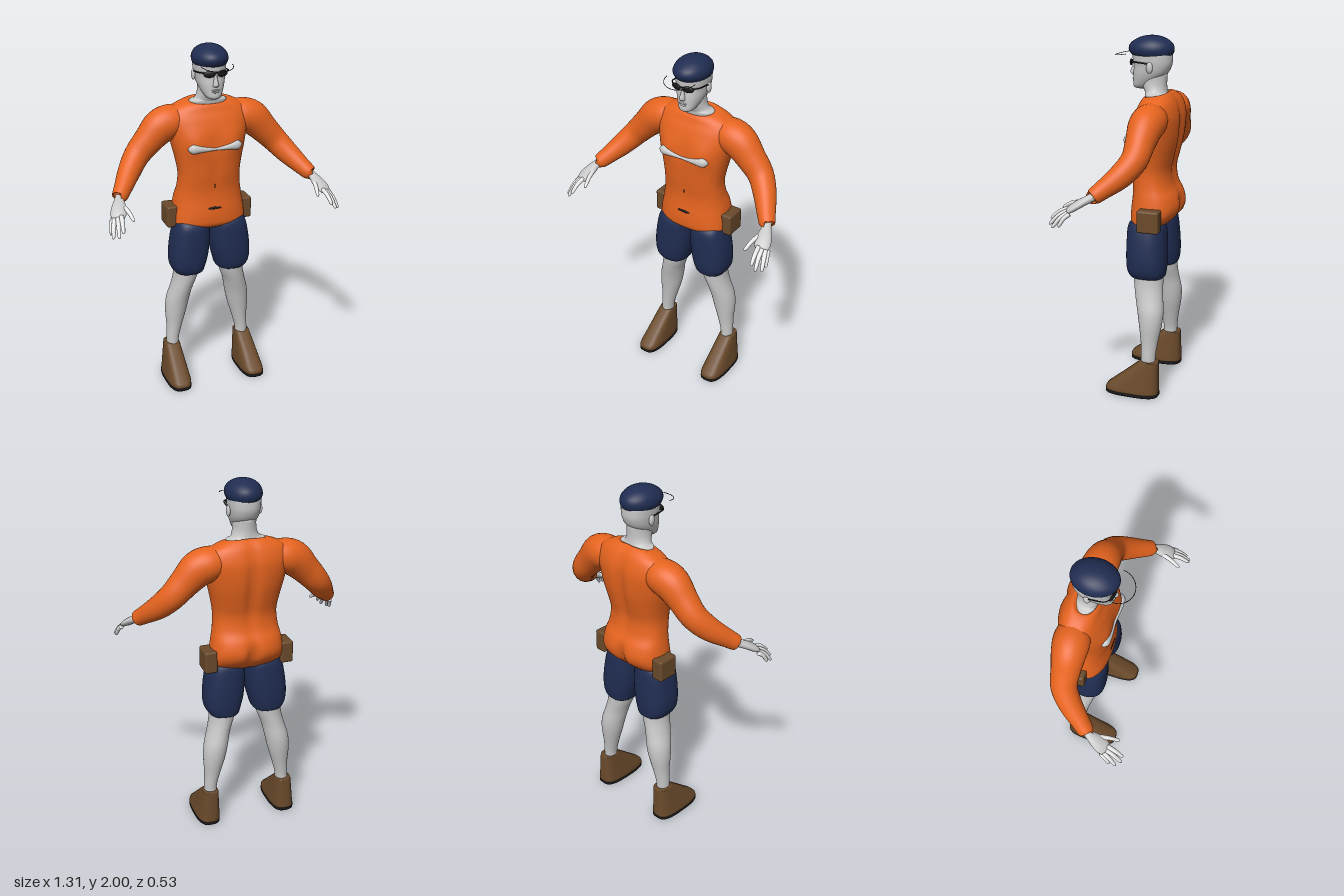
import * as THREE from 'three';
import { RoundedBoxGeometry } from 'three/addons/geometries/RoundedBoxGeometry.js';

const material = (name, color) => {
  const m = new THREE.MeshStandardMaterial({ color });
  m.name = name;
  return m;
};

// Catmull-Rom interpolation between rows of numbers
function smoothRows(rows, steps) {
  const out = [], at = i => rows[Math.min(Math.max(i, 0), rows.length - 1)];
  for (let i = 0; i < rows.length - 1; i++) {
    for (let s = 0; s < steps; s++) {
      const t = s / steps;
      out.push(rows[i].map((b, k) => {
        const a = at(i - 1)[k], c = at(i + 1)[k], d = at(i + 2)[k];
        return b + 0.5 * t * (c - a + t * (2 * a - 5 * b + 4 * c - d + t * (3 * (b - c) + d - a)));
      }));
    }
  }
  out.push(rows[rows.length - 1]);
  return out;
}

// Closed skin over rings of points, capped at both ends
function skinRings(rings) {
  const n = rings[0].length, pos = [], idx = [];
  rings.forEach(r => r.forEach(p => pos.push(p.x, p.y, p.z)));
  for (let i = 0; i < rings.length - 1; i++) {
    for (let j = 0; j < n; j++) {
      const k = (j + 1) % n, a = i * n, b = a + n;
      idx.push(a + j, b + j, a + k, a + k, b + j, b + k);
    }
  }
  [0, rings.length - 1].forEach(i => {
    const c = rings[i].reduce((s, p) => s.add(p), new THREE.Vector3()).divideScalar(n);
    const ci = pos.length / 3, a = i * n;
    pos.push(c.x, c.y, c.z);
    for (let j = 0; j < n; j++) {
      const k = (j + 1) % n;
      if (i === 0) idx.push(ci, a + j, a + k); else idx.push(ci, a + k, a + j);
    }
  });
  const g = new THREE.BufferGeometry();
  g.setAttribute('position', new THREE.Float32BufferAttribute(pos, 3));
  g.setIndex(idx);
  g.computeVertexNormals();
  return g;
}

// Upright form from rows [y, centreX, halfWidth, frontZ, backZ]
function stack(rows, { power = 2, steps = 4, sides = 40, shape } = {}) {
  const bend = v => Math.sign(v) * Math.abs(v) ** (2 / power);
  return skinRings(smoothRows(rows, steps).map(([y, cx, rx, zf, zb]) =>
    Array.from({ length: sides }, (_, j) => {
      const a = j / sides * Math.PI * 2;
      const p = new THREE.Vector3(cx + rx * bend(Math.cos(a)), y, (zf + zb) / 2 + (zf - zb) / 2 * bend(Math.sin(a)));
      if (shape) shape(p, Math.sin(a));
      return p;
    })));
}

// Limb along rows [x, y, z, sideRadius, upRadius]
function limb(rows, sides = 20, steps = 4) {
  const r = smoothRows(rows, steps), P = r.map(q => new THREE.Vector3(q[0], q[1], q[2]));
  return skinRings(r.map((q, i) => {
    const t = P[Math.min(i + 1, P.length - 1)].clone().sub(P[Math.max(i - 1, 0)]).normalize();
    const u = t.clone().cross(new THREE.Vector3(0, 1, 0)).normalize(), v = u.clone().cross(t);
    return Array.from({ length: sides }, (_, j) => {
      const a = j / sides * Math.PI * 2;
      return P[i].clone().addScaledVector(u, q[3] * Math.cos(a)).addScaledVector(v, q[4] * Math.sin(a));
    });
  }));
}

const blob = (x, y, z, rx, ry, rz) => new THREE.SphereGeometry(1, 20, 14).scale(rx, ry, rz).translate(x, y, z);

function mirrored(geo) {
  const g = geo.clone().scale(-1, 1, 1);
  const ix = g.index ? Array.from(g.index.array) : Array.from({ length: g.attributes.position.count }, (_, i) => i);
  for (let i = 0; i < ix.length; i += 3) [ix[i], ix[i + 1]] = [ix[i + 1], ix[i]];
  g.setIndex(ix);
  g.computeVertexNormals();
  return g;
}

export function createModel() {
  const model = new THREE.Group();
  model.name = 'standingMan';
  const orange = material('orange cloth', 0xe6641f), navy = material('navy cloth', 0x202d52);
  const skin = material('pale skin', 0xc8c8c8), brown = material('brown leather', 0x6a4a2b);
  const black = material('black', 0x18181a);
  const add = (name, geo, mat) => {
    const m = new THREE.Mesh(geo, mat);
    m.name = name;
    model.add(m);
  };
  const pair = (name, geo, mat) => {
    add(name + 'Left', geo, mat);
    add(name + 'Right', mirrored(geo), mat);
  };
  const bell = (v, c, w) => Math.exp(-(((v - c) / w) ** 2));

  // Shirt body with chest, spine groove, cleft and sloping collar
  add('shirtBody', stack([
    [0.96, 0, 0.12, -0.03, -0.17], [0.985, 0, 0.2, 0.004, -0.205], [1.03, 0, 0.21, 0.01, -0.25],
    [1.08, 0, 0.205, 0.008, -0.267], [1.14, 0, 0.195, 0.002, -0.255], [1.2, 0, 0.183, 0.002, -0.225],
    [1.28, 0, 0.178, 0.012, -0.215], [1.36, 0, 0.19, 0.018, -0.232], [1.44, 0, 0.208, 0.02, -0.25],
    [1.52, 0, 0.225, 0.01, -0.258], [1.59, 0, 0.235, -0.012, -0.255], [1.645, 0, 0.215, -0.035, -0.235],
    [1.675, 0, 0.165, -0.045, -0.21], [1.69, 0, 0.118, -0.055, -0.19], [1.685, 0, 0.1, -0.065, -0.18],
  ], {
    power: 2.4, sides: 72,
    shape: (p, s) => {
      const mid = bell(p.x, 0, 0.03), y = p.y;
      if (s < 0) p.z -= s * mid * (0.03 * bell(y, 1.06, 0.07) + 0.022 * bell(y, 1.45, 0.2));
      else {
        p.z += s * bell(y, 1.47, 0.07) * (0.014 * bell(Math.abs(p.x), 0.12, 0.06) - 0.005 * mid);
        p.z -= s * 0.005 * mid * bell(y, 1.3, 0.1);
      }
      if (y > 1.6) p.y -= s * 0.014 * Math.min(1, (y - 1.6) / 0.08);
    },
  }), orange);

  // Sleeves
  pair('sleeve', limb([
    [0.12, 1.59, -0.14, 0.07, 0.07], [0.2, 1.58, -0.14, 0.095, 0.092], [0.27, 1.553, -0.135, 0.092, 0.097],
    [0.34, 1.485, -0.13, 0.078, 0.082], [0.41, 1.41, -0.12, 0.07, 0.072], [0.47, 1.34, -0.067, 0.062, 0.064],
    [0.525, 1.28, 0.005, 0.05, 0.05], [0.556, 1.248, 0.045, 0.043, 0.043], [0.56, 1.244, 0.05, 0.034, 0.034],
  ], 32), orange);

  // Hands
  pair('palm', limb([
    [0.54, 1.262, 0.025, 0.026, 0.024], [0.565, 1.237, 0.065, 0.026, 0.021], [0.578, 1.215, 0.105, 0.038, 0.021],
    [0.592, 1.19, 0.145, 0.043, 0.019], [0.602, 1.172, 0.17, 0.034, 0.012],
  ]), skin);
  [
    [0.628, 1.165, 0.15, 0.65, 1.1, 0.205], [0.619, 1.17, 0.16, 0.648, 1.092, 0.24],
    [0.602, 1.175, 0.17, 0.622, 1.1, 0.265], [0.583, 1.183, 0.17, 0.598, 1.125, 0.265],
    [0.558, 1.215, 0.105, 0.529, 1.17, 0.225],
  ].forEach(([x, y, z, a, b, c], i) => pair('finger' + (i + 1), limb([
    [x, y, z, 0.013, 0.012], [(x + a) / 2, (y + b) / 2 + 0.01, (z + c) / 2, 0.012, 0.011],
    [a * 0.9 + x * 0.1, b * 0.9 + y * 0.1, c * 0.9 + z * 0.1, 0.009, 0.009], [a, b, c, 0.003, 0.003],
  ], 10)), skin);

  // Pale chest strip and small marks on the belly
  add('chestStrip', limb([
    [-0.155, 1.45, 0.003, 0.006, 0.006], [-0.13, 1.45, 0.012, 0.02, 0.026], [-0.085, 1.447, 0.018, 0.016, 0.018],
    [0, 1.441, 0.019, 0.008, 0.007], [0.085, 1.447, 0.018, 0.016, 0.018],
    [0.13, 1.45, 0.012, 0.02, 0.026], [0.155, 1.45, 0.003, 0.006, 0.006],
  ]), skin);
  add('navel', blob(0, 1.222, 0.001, 0.004, 0.011, 0.004), black);
  add('bellyMark', blob(0, 1.091, 0.006, 0.04, 0.008, 0.004), black);

  // Shorts, legs and shoes
  pair('shortsLeg', stack([
    [0.685, 0.128, 0.07, -0.03, -0.19], [0.69, 0.129, 0.085, -0.012, -0.205], [0.73, 0.133, 0.102, 0.004, -0.213],
    [0.8, 0.127, 0.113, 0.01, -0.215], [0.9, 0.117, 0.112, 0.01, -0.21], [0.98, 0.11, 0.1, 0.004, -0.2],
    [1.02, 0.11, 0.08, -0.03, -0.17],
  ], { power: 2.5 }), navy);
  pair('leg', stack([
    [0.17, 0.22, 0.035, -0.1, -0.18], [0.24, 0.218, 0.037, -0.1, -0.182], [0.32, 0.207, 0.046, -0.094, -0.192],
    [0.42, 0.195, 0.063, -0.08, -0.21], [0.5, 0.183, 0.068, -0.066, -0.215], [0.58, 0.163, 0.065, -0.048, -0.205],
    [0.65, 0.143, 0.07, -0.035, -0.2], [0.73, 0.13, 0.078, -0.025, -0.2],
  ]), skin);
  pair('shoe', stack([
    [0.018, 0.23, 0.068, 0.105, -0.205], [0.04, 0.229, 0.067, 0.1, -0.205], [0.07, 0.228, 0.063, 0.065, -0.204],
    [0.14, 0.226, 0.054, -0.018, -0.202], [0.198, 0.224, 0.046, -0.088, -0.2],
    [0.209, 0.224, 0.043, -0.104, -0.197], [0.21, 0.224, 0.036, -0.11, -0.19],
  ], { power: 3 }), brown);
  pair('sole', stack([
    [0, 0.23, 0.066, 0.102, -0.202], [0.004, 0.23, 0.069, 0.106, -0.206], [0.02, 0.23, 0.069, 0.106, -0.206],
  ], { power: 3, steps: 1 }), black);

  // Hip pouches
  pair('hipPouch', new RoundedBoxGeometry(0.07, 0.125, 0.122, 3, 0.012).translate(0.22, 1.032, -0.14), brown);

  // Neck and head
  add('neck', stack([
    [1.655, 0, 0.1, -0.06, -0.18], [1.69, 0, 0.108, -0.056, -0.178], [1.702, 0, 0.078, -0.05, -0.172],
    [1.74, 0, 0.064, -0.03, -0.168], [1.8, 0, 0.062, -0.02, -0.172],
  ]), skin);
  add('head', stack([
    [1.715, 0, 0.022, 0.004, -0.05], [1.728, 0, 0.042, 0.017, -0.08], [1.76, 0, 0.06, 0.017, -0.125],
    [1.8, 0, 0.075, 0.016, -0.172], [1.84, 0, 0.082, 0.012, -0.193], [1.875, 0, 0.086, 0.019, -0.198],
    [1.92, 0, 0.085, 0.016, -0.193], [1.96, 0, 0.06, -0.02, -0.16],
  ], { power: 2.2 }), skin);
  add('nose', stack([
    [1.784, 0, 0.008, 0.022, -0.01], [1.79, 0, 0.016, 0.031, -0.01], [1.802, 0, 0.015, 0.038, -0.01],
    [1.83, 0, 0.01, 0.028, -0.01], [1.865, 0, 0.009, 0.02, -0.01],
  ], { sides: 16 }), skin);
  add('upperLip', blob(0, 1.768, 0.014, 0.024, 0.005, 0.009), skin);
  add('lowerLip', blob(0, 1.758, 0.013, 0.02, 0.006, 0.009), skin);
  pair('ear', blob(0.088, 1.838, -0.098, 0.011, 0.03, 0.018), skin);

  // Sunglasses
  pair('lens', blob(0, 0, 0, 0.032, 0.018, 0.008).rotateY(0.25).translate(0.037, 1.858, 0.02), black);
  add('bridge', limb([[-0.015, 1.864, 0.026, 0.003, 0.003], [0.015, 1.864, 0.026, 0.003, 0.003]], 8, 1), black);
  pair('temple', limb([
    [0.06, 1.866, 0.014, 0.003, 0.004], [0.084, 1.865, -0.015, 0.003, 0.004], [0.09, 1.858, -0.1, 0.003, 0.004],
  ], 8), black);

  // Cap with a thin wire brim
  add('cap', stack([
    [1.892, 0, 0.08, 0.015, -0.185], [1.902, 0, 0.091, 0.03, -0.2], [1.928, 0, 0.098, 0.043, -0.207],
    [1.957, 0, 0.09, 0.032, -0.198], [1.982, 0, 0.067, -0.004, -0.167], [1.996, 0, 0.036, -0.045, -0.128],
    [2, 0, 0.008, -0.08, -0.095],
  ]), navy);
  add('brimWire', new THREE.TorusGeometry(0.088, 0.0018, 6, 40, Math.PI)
    .rotateX(Math.PI / 2 + 0.17).translate(0, 1.906, 0.031), black);

  return model;
}
